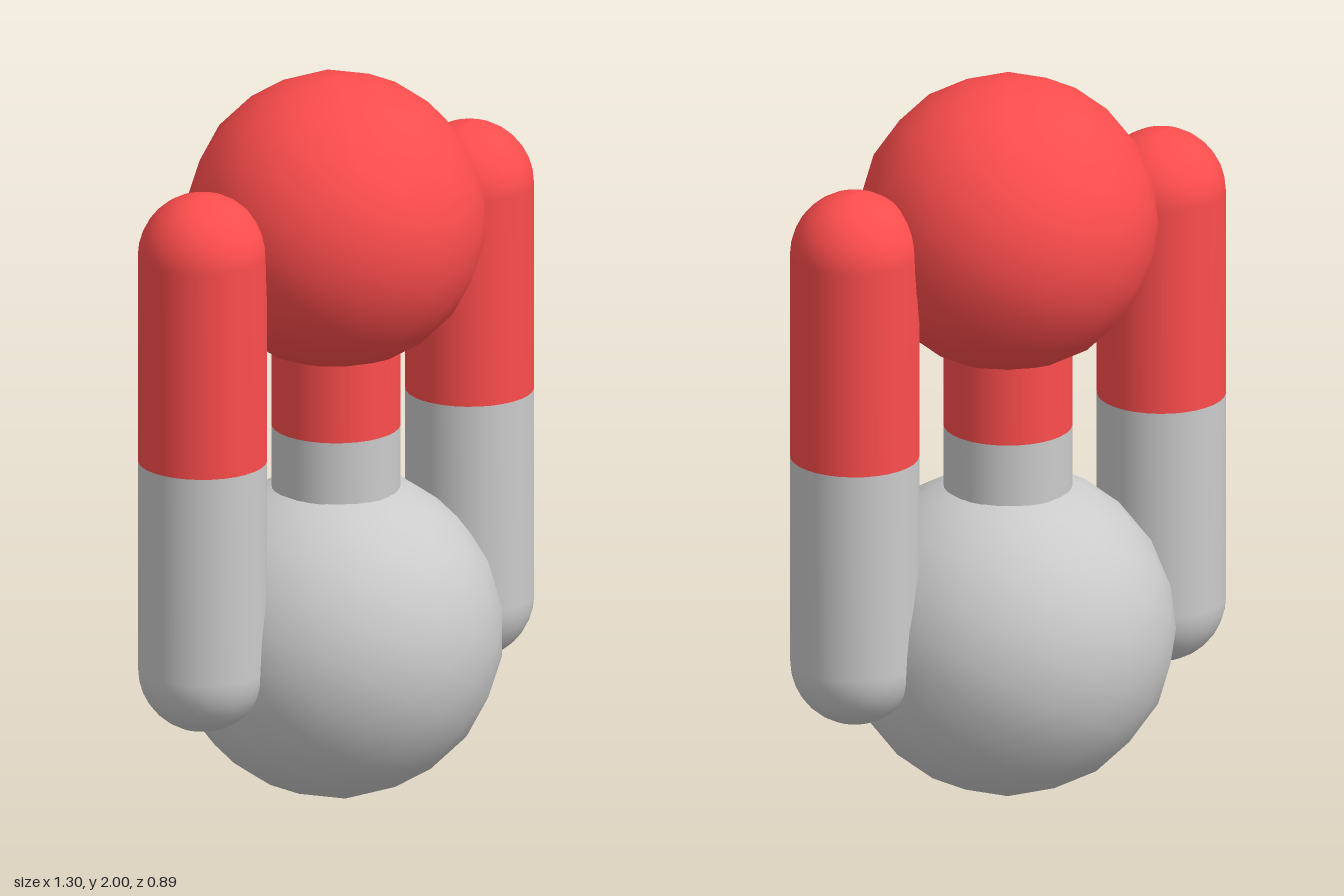
import * as THREE from 'three';

const RED = 0xff4d4d, GREY = 0xcccccc;
const LOW = 0.452, HIGH = 1.6, SPLIT = 1.03, ROD = 0.172;

function material(color) {
  return new THREE.MeshStandardMaterial({ color, side: THREE.DoubleSide });
}

// Smooth-shaded faceted ball
function ball(name, radius, y, color) {
  const mesh = new THREE.Mesh(new THREE.IcosahedronGeometry(radius, 3), material(color));
  mesh.name = name;
  mesh.position.y = y;
  return mesh;
}

// Half a rod: a round end of radius ROD around y = 0, then a straight shaft upwards
function halfRod(name, length, color) {
  const points = [];
  for (let i = 0; i <= 8; i++) {
    const a = (i / 8) * Math.PI / 2;
    points.push(new THREE.Vector2(ROD * Math.sin(a), -ROD * Math.cos(a)));
  }
  points[0].x = 0;
  points.push(new THREE.Vector2(ROD, length));
  const mesh = new THREE.Mesh(new THREE.LatheGeometry(points, 32), material(color));
  mesh.name = name;
  return mesh;
}

// Two-coloured rod with rounded ends
function bond(name, x) {
  const group = new THREE.Group();
  group.name = name;
  const lower = halfRod(name + 'Lower', SPLIT - LOW, GREY);
  lower.position.y = LOW;
  const upper = halfRod(name + 'Upper', HIGH - SPLIT, RED);
  upper.position.y = HIGH;
  upper.rotation.x = Math.PI;
  group.add(lower, upper);
  group.position.x = x;
  return group;
}

export function createModel() {
  const model = new THREE.Group();
  model.name = 'molecule';

  // The two atoms
  model.add(ball('lowerAtom', 0.447, LOW, GREY));
  model.add(ball('upperAtom', 0.4, HIGH, RED));

  // Triple bond
  model.add(bond('leftBond', 0.478), bond('centreBond', 0), bond('rightBond', -0.478));
  return model;
}
